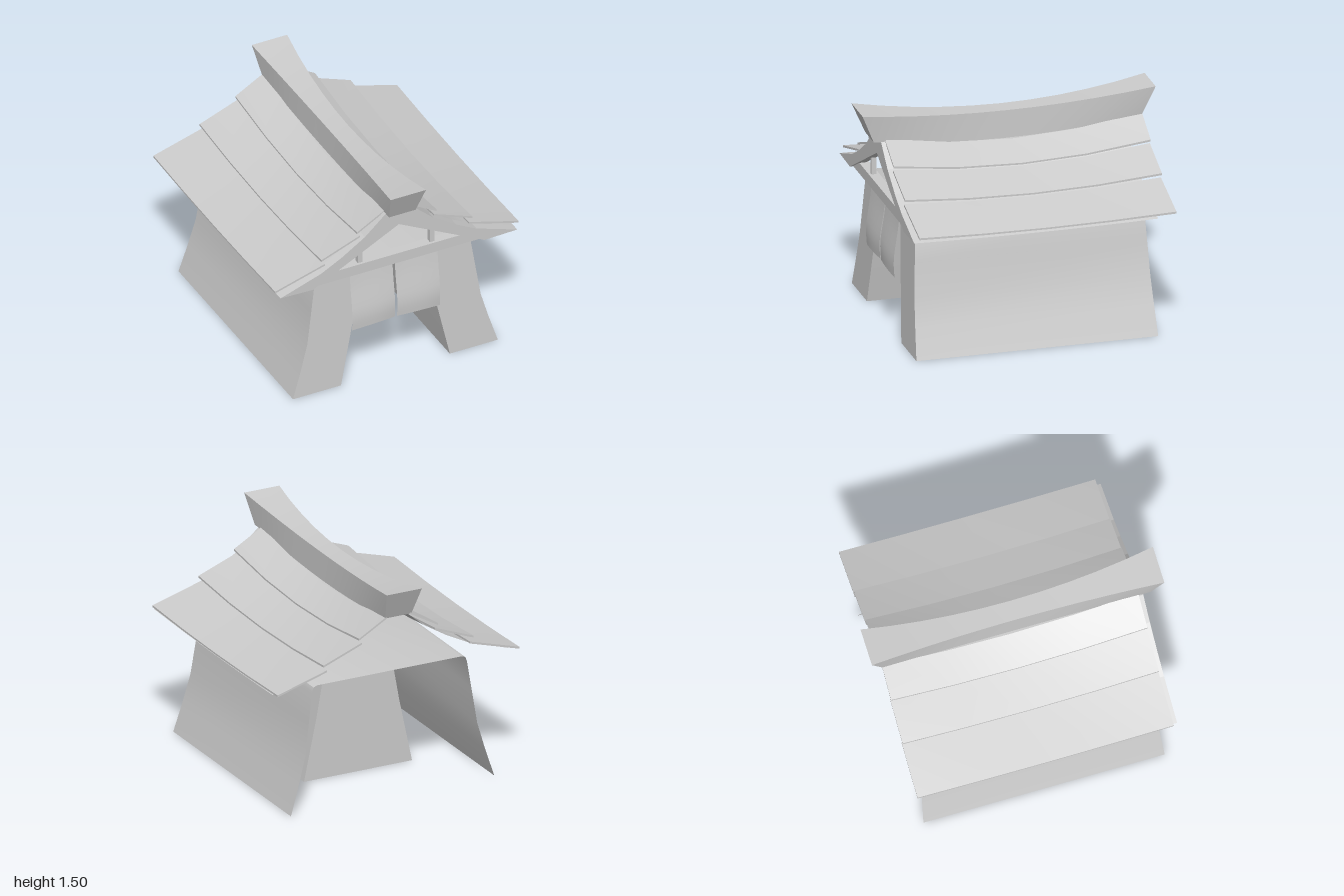
import * as THREE from 'three';
import { toCreasedNormals } from 'three/addons/utils/BufferGeometryUtils.js';

const solid = new THREE.MeshStandardMaterial({ color: 0xcccccc });
const thin = new THREE.MeshStandardMaterial({ color: 0xcccccc, side: THREE.DoubleSide });

// Walls lean inwards: front and back planes depend on height
const frontZ = (y) => 0.815 - 0.052 * y;
const backZ = (y) => -0.835 + 0.052 * y;
// The roof sags towards the middle of its length, most at the top
const sag = (y, z) => (0.012 + 0.18 * Math.max(0, y - 0.88)) * Math.max(0, 1 - ((z + 0.03) / 0.88) ** 2);

function moveVertices(geometry, rule) {
  const p = geometry.attributes.position;
  const v = new THREE.Vector3();
  for (let i = 0; i < p.count; i++) {
    v.fromBufferAttribute(p, i);
    rule(v);
    p.setXYZ(i, v.x, v.y, v.z);
  }
  return geometry;
}

const mirrored = (half) => [...half, ...half.map(([x, y]) => [-x, y]).reverse()];
const toShape = (points) => new THREE.Shape(points.map(([x, y]) => new THREE.Vector2(x, y)));

// Open sheet that sweeps a profile between two z rules
function sheet(profile, zA, zB, segments = 1) {
  const last = profile.length - 1;
  const g = new THREE.PlaneGeometry(1, 1, last, segments);
  moveVertices(g, (v) => {
    const [x, y] = profile[Math.round((v.x + 0.5) * last)];
    v.set(x, y, THREE.MathUtils.lerp(zA(y), zB(y), v.y + 0.5));
  });
  return g;
}

export function createModel() {
  const model = new THREE.Group();
  const add = (name, geometry, material = solid) => {
    const mesh = new THREE.Mesh(geometry, material);
    mesh.name = name;
    model.add(mesh);
    return mesh;
  };
  // Moved parts get fresh normals
  const addMoved = (name, geometry, rule, material) => {
    moveVertices(geometry, rule).computeVertexNormals();
    return add(name, geometry, material);
  };
  const box = (name, w, h, d, x, y, z) => add(name, new THREE.BoxGeometry(w, h, d)).position.set(x, y, z);

  // Flared outer shell, open at the back
  const outer = mirrored([[0.753, 0], [0.69, 0.2], [0.637, 0.39], [0.602, 0.63], [0.573, 0.83], [0.562, 0.86], [0.535, 0.87]]);
  const inner = mirrored([[0.4, 0], [0.305, 0.45], [0.26, 0.7], [0.245, 0.76], [0.21, 0.8], [0.15, 0.82]]);
  add('outerWalls', toCreasedNormals(sheet(outer, frontZ, backZ), 0.7), thin);

  // Front wall with the doorway cut out
  const facade = new THREE.ShapeGeometry(toShape([...outer, ...[...inner].reverse()]));
  addMoved('frontWall', facade, (v) => { v.z = frontZ(v.y); }, thin);

  // Entrance passage and its end wall
  add('passage', toCreasedNormals(sheet(inner, frontZ, () => -0.35), 0.7), thin);
  add('passageEndWall', new THREE.ShapeGeometry(toShape(inner)).translate(0, 0, -0.35), thin);

  // Sagging roof skin behind a solid front bargeboard
  const top = mirrored([[0.87, 0.872], [0.57, 0.975], [0.42, 1.055], [0.25, 1.165], [0.1, 1.3]]);
  const underside = [[-0.63, 0.865], [0, 1.19], [0.63, 0.865]];
  const skin = sheet(top, () => 0.85, () => -0.8, 8);
  moveVertices(skin, (v) => { v.y -= sag(v.y, v.z); });
  add('roofSkin', toCreasedNormals(skin, 0.5), thin);
  const board = new THREE.ExtrudeGeometry(toShape([...top, ...underside]), { depth: 0.065, bevelEnabled: false });
  add('bargeboard', board.translate(0, 0, 0.8));

  // Gable timbers
  box('tieBeam', 1.24, 0.075, 0.07, 0, 0.907, 0.81);
  for (const s of [-1, 1]) box('gablePost', 0.034, 0.14, 0.034, s * 0.265, 1.0, 0.81);

  // Three rows of thin roof boards on each slope: inner x, y, outer x, y
  const rows = [
    [0.085, 1.318, 0.292, 1.2],
    [0.272, 1.168, 0.555, 1.06],
    [0.53, 1.022, 0.895, 0.915],
  ];
  const thickness = 0.014;
  for (const s of [-1, 1]) {
    for (const [x0, y0, x1, y1] of rows) {
      const plank = new THREE.BoxGeometry(1, 1, 1.753, 1, 1, 4).translate(0, 0, -0.0415);
      addMoved('roofBoards', plank, (v) => {
        const k = s * v.x + 0.5;
        const y = THREE.MathUtils.lerp(y0, y1, k) + (v.y - 0.5) * thickness;
        v.set(s * THREE.MathUtils.lerp(x0, x1, k), y - sag(y, v.z), v.z);
      });
    }
  }

  // Curved ridge beam, flaring towards both ends
  const ridge = new THREE.BoxGeometry(2, 2, 2, 1, 1, 10);
  addMoved('ridgeBeam', ridge, (v) => {
    const k = v.z * v.z;
    if (v.y > 0) v.set(v.x * (0.068 + 0.062 * k), 1.422 + 0.083 * k, v.z);
    else v.set(v.x * (0.07 + 0.027 * k), 1.23 + 0.075 * k, v.z * 0.915);
  });

  // Door curtains hanging from a rod
  box('curtainRod', 0.82, 0.016, 0.016, 0, 0.857, 0.8);
  const drape = new THREE.CatmullRomCurve3([[0.86, 0.802], [0.75, 0.815], [0.6, 0.838], [0.52, 0.842], [0.44, 0.836]]
    .map(([y, z]) => new THREE.Vector3(0, y, z)));
  for (const [x, bow] of [[-0.173, 1], [0.158, -1]]) {
    const cloth = new THREE.PlaneGeometry(0.314, 1, 6, 10);
    addMoved('curtain', cloth, (v) => {
      const k = 0.5 - v.y;
      const p = drape.getPoint(k);
      const u = v.x / 0.157;
      v.set(x + v.x, p.y + 0.006 * k * (bow * u - u * u), p.z + 0.01 * k * (1 - u * u));
    }, thin);
  }
  return model;
}
